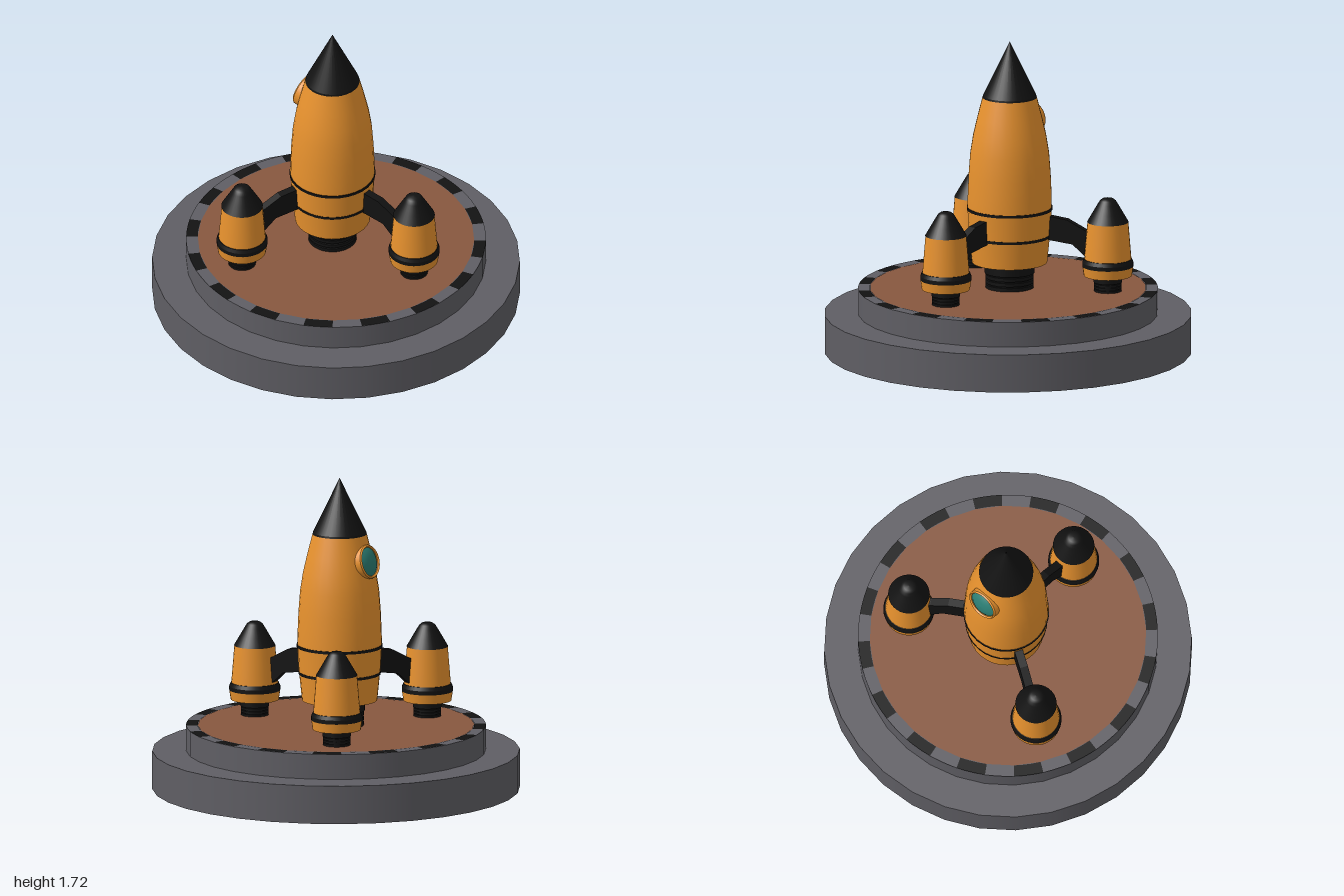
import * as THREE from 'three';

const mat = (color) => new THREE.MeshStandardMaterial({ color, side: THREE.DoubleSide });
const ORANGE = mat(0xe8922e), BLACK = mat(0x121212), GREY = mat(0x5f5e64);
const BROWN = mat(0x87573f), TEAL = mat(0x2b7c72);

function part(parent, name, geometry, material, y = 0) {
  const mesh = new THREE.Mesh(geometry, material);
  mesh.name = name;
  mesh.position.y = y;
  parent.add(mesh);
  return mesh;
}

// Profile of [radius, height], bottom to top; sharp profiles repeat inner points for hard edges
function lathe(profile, sharp = false, segments = 32) {
  const points = [];
  profile.forEach(([r, y], i) => {
    points.push(new THREE.Vector2(r, y));
    if (sharp && i > 0 && i < profile.length - 1) points.push(new THREE.Vector2(r, y));
  });
  return new THREE.LatheGeometry(points, segments);
}

// Nozzle with a plain collar above a stack of ribs
function nozzle(radius, bottom, top, ribs) {
  const profile = [[0, bottom]];
  const ribTop = bottom + (top - bottom) * 0.55;
  const step = (ribTop - bottom) / ribs;
  for (let i = 0; i < ribs; i++) {
    const y = bottom + i * step;
    profile.push([radius * 0.96, y], [radius * 0.96, y + step * 0.7],
      [radius * 0.88, y + step * 0.75], [radius * 0.88, y + step]);
  }
  profile.push([radius, ribTop], [radius, top], [0, top]);
  return lathe(profile, true);
}

function createPad() {
  const pad = new THREE.Group();
  pad.name = 'launchPad';
  part(pad, 'lowerStep', new THREE.CylinderGeometry(1, 1, 0.21, 32), GREY, 0.105);
  part(pad, 'upperStep', new THREE.CylinderGeometry(0.815, 0.815, 0.14, 32), GREY, 0.278);
  part(pad, 'padFloor', new THREE.CircleGeometry(0.752, 32).rotateX(-Math.PI / 2), BROWN, 0.35);
  // Dashed border, alternating every facet of the rim
  const step = Math.PI / 16;
  for (let i = 0; i < 32; i++) {
    const dash = new THREE.RingGeometry(0.752, 0.815, 1, 1, Math.PI / 2 + i * step, step);
    part(pad, 'borderDash', dash.rotateX(-Math.PI / 2), i % 2 ? GREY : BLACK, 0.35);
  }
  return pad;
}

function createBody() {
  const body = new THREE.Group();
  body.name = 'rocketBody';
  part(body, 'mainNozzle', nozzle(0.137, 0.35, 0.5, 3), BLACK);
  part(body, 'tailSection', lathe([[0, 0.49], [0.205, 0.49], [0.22, 0.64]], true), ORANGE);
  part(body, 'lowerBand', lathe([[0.219, 0.635], [0.224, 0.635], [0.224, 0.65], [0.22, 0.65]], true), BLACK);
  part(body, 'middleSection', lathe([[0.222, 0.645], [0.23, 0.79]]), ORANGE);
  part(body, 'upperBand', lathe([[0.228, 0.785], [0.234, 0.785], [0.234, 0.8], [0.228, 0.8]], true), BLACK);
  part(body, 'hull', lathe([[0.23, 0.795], [0.229, 0.86], [0.224, 0.98], [0.215, 1.1],
    [0.199, 1.2], [0.176, 1.3], [0.148, 1.41]]), ORANGE);
  part(body, 'noseCone', lathe([[0, 1.405], [0.148, 1.405], [0.145, 1.42], [0, 1.72]], true), BLACK);

  // Round window on the back, tilted with the hull
  const porthole = new THREE.Group();
  porthole.name = 'window';
  part(porthole, 'windowFrame', lathe([[0.093, -0.06], [0.093, 0.004], [0.086, 0.012],
    [0.079, 0.004], [0.079, -0.02]], true), ORANGE);
  part(porthole, 'windowGlass', lathe([[0.08, -0.002], [0.06, 0.011], [0.032, 0.019], [0, 0.022]]), TEAL);
  porthole.position.set(0, 1.275, -0.188);
  porthole.rotation.x = -Math.PI / 2 + 0.25;
  body.add(porthole);
  return body;
}

function createBooster() {
  const booster = new THREE.Group();
  booster.name = 'booster';
  part(booster, 'boosterNozzle', nozzle(0.078, 0.35, 0.44, 3), BLACK);
  part(booster, 'boosterSkirt', lathe([[0, 0.436], [0.131, 0.436], [0.139, 0.49]], true), ORANGE);
  part(booster, 'boosterBand', lathe([[0.139, 0.488], [0.139, 0.51], [0.131, 0.53], [0.12, 0.532]], true), BLACK);
  part(booster, 'boosterTank', lathe([[0.128, 0.528], [0.111, 0.738]]), ORANGE);
  part(booster, 'boosterNose', lathe([[0, 0.735], [0.113, 0.735], [0.113, 0.735], [0.084, 0.785],
    [0.056, 0.833], [0.043, 0.854], [0.028, 0.865], [0, 0.867]]), BLACK);
  return booster;
}

// Bent strut running outward along +z
function createStrut() {
  const outline = [[0.17, 0.63], [0.22, 0.625], [0.35, 0.605], [0.42, 0.54], [0.45, 0.54],
    [0.45, 0.675], [0.42, 0.685], [0.32, 0.74], [0.22, 0.757], [0.17, 0.757]];
  const shape = new THREE.Shape(outline.map(([r, y]) => new THREE.Vector2(r, y)));
  const geometry = new THREE.ExtrudeGeometry(shape, { depth: 0.046, bevelEnabled: false });
  geometry.translate(0, 0, -0.023).rotateY(-Math.PI / 2);
  return geometry;
}

export function createModel() {
  const model = new THREE.Group();
  model.name = 'rocketOnPad';
  model.add(createPad());

  const rocket = new THREE.Group();
  rocket.name = 'rocket';
  rocket.position.set(-0.005, 0, -0.02);
  rocket.add(createBody());
  // Three boosters, each on its own strut
  for (let i = 0; i < 3; i++) {
    const arm = new THREE.Group();
    arm.name = 'boosterArm';
    arm.rotation.y = (i * Math.PI * 2) / 3;
    part(arm, 'strut', createStrut(), BLACK);
    const booster = createBooster();
    booster.position.z = 0.542;
    arm.add(booster);
    rocket.add(arm);
  }
  model.add(rocket);
  return model;
}
